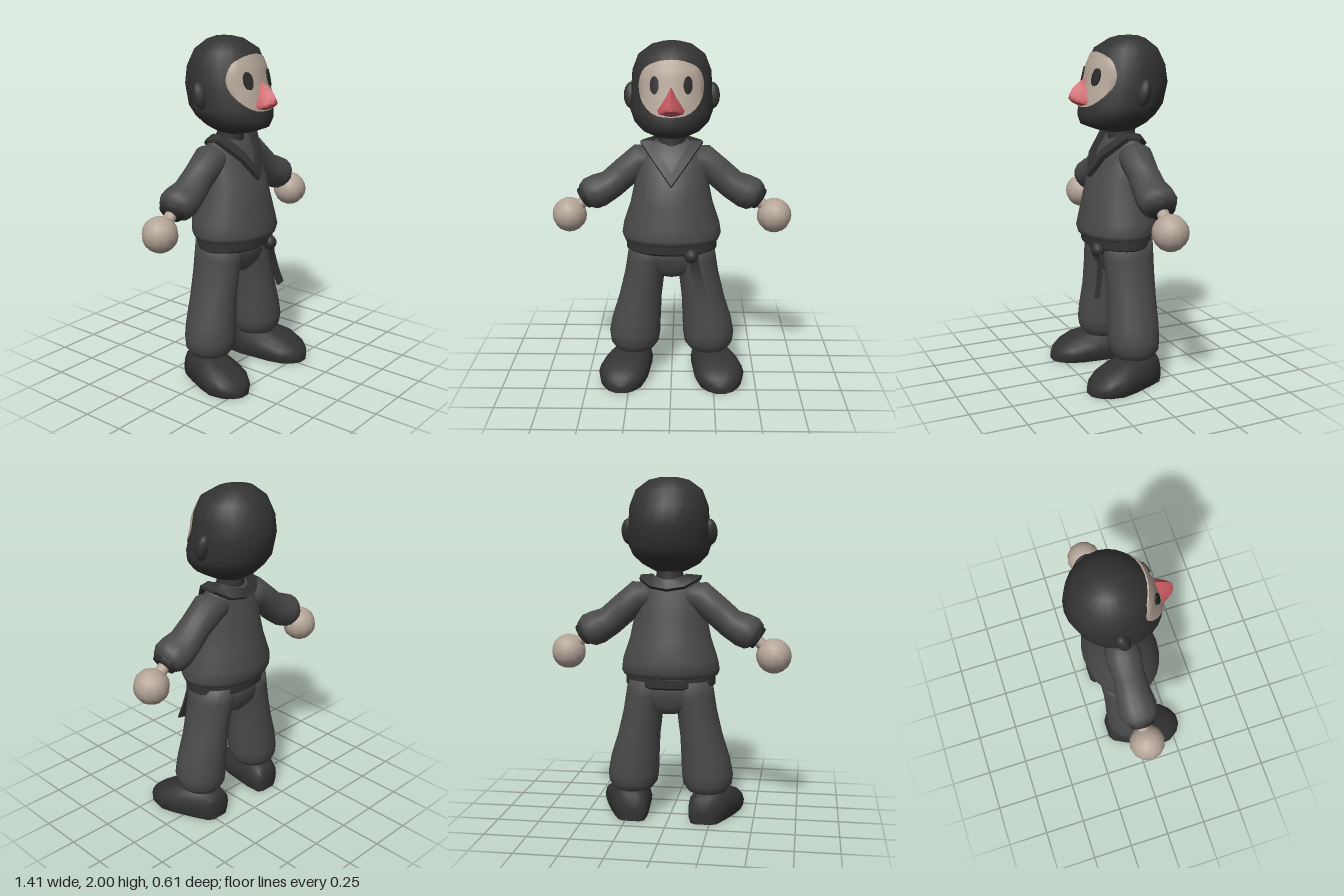
import * as THREE from 'three';
import { toCreasedNormals } from 'three/addons/utils/BufferGeometryUtils.js';

const V = (x, y, z) => new THREE.Vector3(x, y, z);
const paint = (color) => new THREE.MeshStandardMaterial({ color });

// Skin a list of point rings; ends are capped unless the rings form a loop.
function loft(rings, { loop = false, crease = 0 } = {}) {
  const n = rings[0].length, m = rings.length;
  const pts = rings.flat(), idx = [];
  for (let i = 0; i < (loop ? m : m - 1); i++) {
    for (let j = 0; j < n; j++) {
      const k = (j + 1) % n, r = i * n, s = ((i + 1) % m) * n;
      idx.push(r + j, s + j, r + k, r + k, s + j, s + k);
    }
  }
  if (!loop) {
    for (const [base, end] of [[0, false], [(m - 1) * n, true]]) {
      const mid = V(0, 0, 0);
      for (let j = 0; j < n; j++) mid.addScaledVector(pts[base + j], 1 / n);
      const c = pts.push(mid) - 1;
      for (let j = 0; j < n; j++) {
        const a = base + j, b = base + (j + 1) % n;
        idx.push(c, end ? b : a, end ? a : b);
      }
    }
  }
  // Turn the faces outward if the enclosed volume is negative.
  let volume = 0;
  for (let i = 0; i < idx.length; i += 3) {
    volume += pts[idx[i]].dot(V(0, 0, 0).crossVectors(pts[idx[i + 1]], pts[idx[i + 2]]));
  }
  if (volume < 0) idx.reverse();
  const g = new THREE.BufferGeometry().setFromPoints(pts);
  g.setIndex(idx);
  g.computeVertexNormals();
  return crease ? toCreasedNormals(g, crease) : g;
}

// Level ellipse: half width, front z, back z, centre x.
function oval(y, hw, front, back, cx = 0, n = 24) {
  const cz = (front + back) / 2, d = (front - back) / 2;
  return Array.from({ length: n }, (_, j) => {
    const a = (j / n) * Math.PI * 2;
    return V(cx + hw * Math.sin(a), y, cz + d * Math.cos(a));
  });
}

// Limb along a path in the xy plane: [x, y, radius in plane, radius in z].
function limb(path, cz, side, n = 16) {
  return loft(path.map(([x, y, r, rz], i) => {
    const p = path[Math.max(i - 1, 0)], q = path[Math.min(i + 1, path.length - 1)];
    const len = Math.hypot(q[0] - p[0], q[1] - p[1]);
    const nx = -(q[1] - p[1]) / len, ny = (q[0] - p[0]) / len;
    return Array.from({ length: n }, (_, j) => {
      const a = (j / n) * Math.PI * 2, c = r * Math.cos(a);
      return V(side * (x + nx * c), y + ny * c, cz + rz * Math.sin(a));
    });
  }));
}

const HEAD = [ // y, half width, front z, back z
  [2.0, 0.05, -0.02, -0.13], [1.985, 0.115, 0.03, -0.17], [1.93, 0.19, 0.12, -0.24],
  [1.84, 0.225, 0.16, -0.285], [1.74, 0.232, 0.185, -0.302], [1.62, 0.238, 0.218, -0.272],
  [1.56, 0.215, 0.225, -0.23], [1.51, 0.165, 0.212, -0.18], [1.475, 0.1, 0.12, -0.12],
  [1.455, 0.05, 0.02, -0.06],
];

function headZ(x, y) {
  const i = HEAD.findIndex((r) => r[0] <= y), a = HEAD[i - 1], b = HEAD[i];
  const t = (a[0] - y) / (a[0] - b[0]);
  const [, hw, f, k] = a.map((v, j) => v + (b[j] - v) * t);
  return (f + k) / 2 + ((f - k) / 2) * Math.sqrt(Math.max(0, 1 - (x / hw) ** 2));
}

// Raised patch that follows the front of the head.
function facePatch(outline, cx, cy, lift) {
  const ring = (t, h) => outline.map(([x, y]) => {
    const px = cx + (x - cx) * t, py = cy + (y - cy) * t;
    return V(px, py, headZ(px, py) + h);
  });
  return loft([ring(1, -0.01), ...[1, 0.85, 0.7, 0.55, 0.4, 0.25, 0.1].map((t) => ring(t, lift))], { crease: 0.9 });
}

export function createModel() {
  const group = new THREE.Group();
  const suit = paint(0x4a4a4a), dark = paint(0x333333), skin = paint(0xb3a497);
  const pink = paint(0xcc5c62), black = paint(0x2a2a2a);
  const add = (name, geometry, material) => {
    const mesh = new THREE.Mesh(geometry, material);
    mesh.name = name;
    group.add(mesh);
    return mesh;
  };

  // Hooded head, face and nose
  add('hood', loft(HEAD.map((r) => oval(...r))), dark);
  const half = [[0.09, 1.9], [0.155, 1.86], [0.182, 1.78], [0.165, 1.69], [0.1, 1.625]];
  const faceCurve = new THREE.CatmullRomCurve3(
    [[0, 1.915], ...half, [0, 1.61], ...half.map(([x, y]) => [-x, y]).reverse()].map(([x, y]) => V(x, y, 0)), true);
  add('face', facePatch(faceCurve.getPoints(32).slice(0, 32).map((p) => [p.x, p.y]), 0, 1.765, 0.008), skin);

  const noseHalf = [[0.028, 1.725], [0.085, 1.645], [0.08, 1.62], [0.035, 1.605]];
  const noseOutline = [[0, 1.775], ...noseHalf, [0, 1.6], ...noseHalf.map(([x, y]) => [-x, y]).reverse()];
  const noseRings = [[0.14, 1], [0.19, 0.97], [0.225, 0.78], [0.265, 0.5], [0.285, 0.22]].map(([z, t]) =>
    noseOutline.map(([x, y]) => V(x * t, 1.665 + (y - 1.665) * t, z)));
  add('nose', loft(noseRings, { crease: 0.8 }), pink);

  add('neck', new THREE.CylinderGeometry(0.075, 0.085, 0.12, 16).translate(0, 1.435, -0.035), dark);

  // Jacket body, belt and hips
  add('jacket', loft([
    [1.44, 0.1, 0.0, -0.09], [1.425, 0.165, 0.04, -0.12], [1.36, 0.2, 0.085, -0.145],
    [1.2, 0.215, 0.162, -0.175], [1.08, 0.24, 0.19, -0.2], [0.96, 0.28, 0.212, -0.23],
    [0.895, 0.29, 0.225, -0.223], [0.865, 0.278, 0.217, -0.205], [0.855, 0.24, 0.18, -0.17],
  ].map((r) => oval(...r))), suit);
  add('belt', loft([
    [0.875, 0.25, 0.18, -0.175], [0.86, 0.266, 0.195, -0.19], [0.81, 0.266, 0.193, -0.188], [0.795, 0.245, 0.17, -0.17],
  ].map((r) => oval(...r)), { crease: 0.7 }), dark);
  add('hips', loft([
    [0.84, 0.248, 0.16, -0.175], [0.76, 0.245, 0.145, -0.17], [0.69, 0.2, 0.125, -0.155], [0.645, 0.08, 0.09, -0.12],
  ].map((r) => oval(...r))), suit);

  // Belt knot and hanging end
  add('beltKnot', new THREE.SphereGeometry(0.042, 12, 8).translate(0.115, 0.8, 0.17), dark);
  const endPath = [[0.125, 0.8, 0.172], [0.14, 0.72, 0.165], [0.16, 0.62, 0.182], [0.18, 0.53, 0.205]];
  add('beltEnd', loft(endPath.map(([x, y, z]) => [[-1, -1], [1, -1], [1, 1], [-1, 1]].map(([u, w]) =>
    V(x + u * 0.026, y + u * 0.005, z + w * 0.006))), { crease: 0.6 }), dark);

  // V collar: flat band round the neck, given by its inner and outer edges
  const inner = [[0, 1.27, 0.145], [0.06, 1.365, 0.105], [0.11, 1.44, 0.02], [0.1, 1.45, -0.06], [0.06, 1.43, -0.12], [0, 1.42, -0.14]];
  const outer = [[0, 1.205, 0.172], [0.09, 1.325, 0.122], [0.18, 1.435, 0.01], [0.17, 1.425, -0.07], [0.1, 1.385, -0.14], [0, 1.37, -0.16]];
  const collarRing = (i, s) => {
    const a = V(...inner[i]), b = V(...outer[i]);
    a.x *= s;
    b.x *= s;
    const out = V(0, 0.008, i < 3 ? 0.012 : -0.008);
    return [a.clone().sub(out), b.clone().sub(out), b.clone().add(out), a.clone().add(out)];
  };
  add('collar', loft([
    ...[0, 1, 2, 3, 4, 5].map((i) => collarRing(i, 1)), ...[4, 3, 2, 1].map((i) => collarRing(i, -1)),
  ], { loop: true, crease: 0.6 }), dark);

  // Paired parts
  for (const [side, word] of [[1, 'left'], [-1, 'right']]) {
    const eye = Array.from({ length: 16 }, (_, j) => {
      const a = (j / 16) * Math.PI * 2;
      return [side * 0.093 + 0.025 * Math.cos(a), 1.78 + 0.048 * Math.sin(a)];
    });
    add(word + 'Eye', facePatch(eye, side * 0.093, 1.78, 0.018), black);

    const ear = add(word + 'Ear', new THREE.SphereGeometry(1, 14, 10), dark);
    ear.scale.set(0.045, 0.077, 0.038);
    ear.position.set(side * 0.231, 1.695, -0.06);
    ear.rotation.x = -0.25;

    add(word + 'Sleeve', limb([
      [0.08, 1.335, 0.07, 0.09], [0.18, 1.322, 0.095, 0.1], [0.27, 1.25, 0.088, 0.09], [0.355, 1.175, 0.088, 0.1],
      [0.425, 1.138, 0.1, 0.112], [0.475, 1.117, 0.098, 0.105], [0.5, 1.1, 0.08, 0.085],
    ], -0.04, side), suit);
    add(word + 'Cuff', limb([[0.46, 1.127, 0.07, 0.075], [0.495, 1.104, 0.074, 0.08], [0.52, 1.087, 0.066, 0.07]], -0.04, side), dark);
    add(word + 'Wrist', limb([[0.47, 1.115, 0.034, 0.036], [0.59, 1.005, 0.034, 0.036]], -0.038, side, 10), skin);
    add(word + 'Hand', new THREE.SphereGeometry(0.102, 12, 10).translate(side * 0.604, 0.99, -0.037), skin);

    add(word + 'TrouserLeg', loft([
      [0.84, 0.12, 0.14, -0.165, 0.128], [0.75, 0.125, 0.137, -0.165, 0.137], [0.65, 0.118, 0.132, -0.16, 0.16],
      [0.5, 0.127, 0.13, -0.158, 0.187], [0.36, 0.146, 0.14, -0.16, 0.212], [0.27, 0.153, 0.145, -0.16, 0.222],
      [0.21, 0.145, 0.135, -0.155, 0.223], [0.17, 0.115, 0.105, -0.13, 0.224], [0.155, 0.07, 0.06, -0.09, 0.224],
    ].map(([y, hw, f, b, cx]) => oval(y, hw, f, b, side * cx, 20))), suit);

    // Shoe: domed slices with a flat sole, heel to toe [z, x, half width, height]
    add(word + 'Shoe', loft([
      [-0.165, 0.213, 0.055, 0.12], [-0.145, 0.216, 0.09, 0.16], [-0.06, 0.235, 0.118, 0.188], [0.05, 0.265, 0.138, 0.182],
      [0.14, 0.284, 0.148, 0.155], [0.22, 0.288, 0.128, 0.12], [0.275, 0.29, 0.085, 0.085], [0.305, 0.29, 0.035, 0.05],
    ].map(([z, x, hw, h]) => [[0.86, 0], [0.97, 0.2], [1, 0.42], [0.92, 0.68], [0.7, 0.88], [0.35, 0.98], [-0.35, 0.98],
      [-0.7, 0.88], [-0.92, 0.68], [-1, 0.42], [-0.97, 0.2], [-0.86, 0]].map(([u, w]) =>
      V(side * (x + u * hw), w * h, z))), { crease: 0.95 }), dark);
  }
  return group;
}
